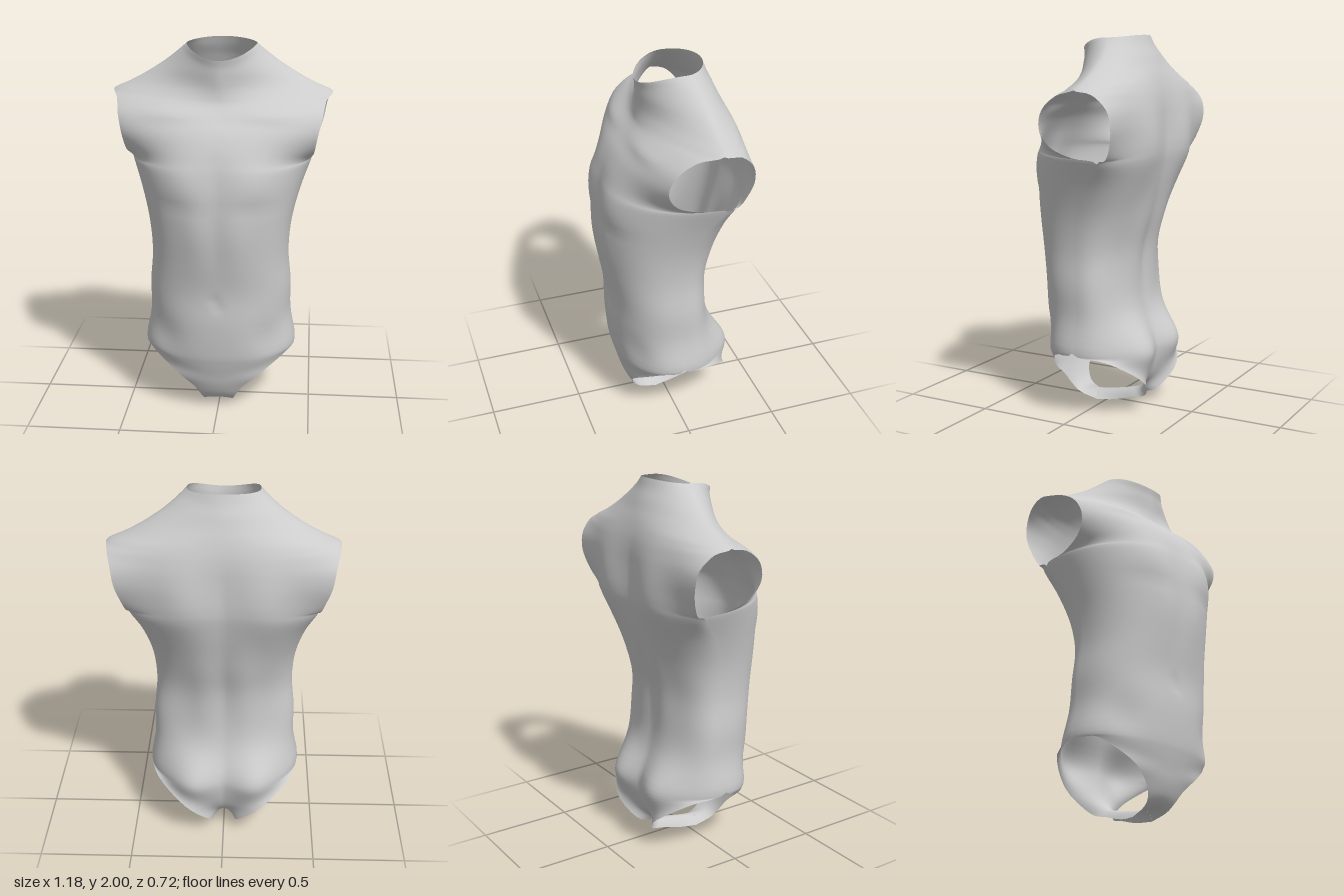
import * as THREE from 'three';
import { mergeVertices } from 'three/addons/utils/BufferGeometryUtils.js';

// Each row runs from the body's centre line out to the sheet's edge:
// [centre y, centre z, edge x, edge y, edge z, fullness of the curve]
const FRONT = [
  // crotch and leg opening
  [.045, .07, .066, .002, .05, 2], [.045, .15, .078, .03, .14, 2], [.08, .2, .092, .07, .185, 2],
  [.15, .235, .135, .14, .212, 2], [.22, .255, .23, .225, .215, 2], [.29, .275, .372, .328, .125, 2.2],
  // side of the body
  [.36, .29, .415, .36, 0, 2.2], [.53, .305, .387, .53, -.02, 2.3], [.7, .305, .385, .7, -.01, 2.4],
  [.88, .33, .37, .88, 0, 2.4], [1.06, .35, .385, 1.06, -.02, 2.4], [1.23, .35, .43, 1.23, -.09, 2.4],
  // arm opening
  [1.36, .335, .485, 1.367, -.19, 2.4], [1.43, .32, .486, 1.39, -.05, 2.3], [1.5, .298, .495, 1.44, .075, 2.2],
  [1.57, .26, .51, 1.53, .128, 2.2], [1.63, .205, .533, 1.63, .095, 2.2], [1.69, .15, .552, 1.7, 0, 1.9],
  // shoulder line up to the neck
  [1.73, .135, .585, 1.73, -.12, 1.5], [1.77, .13, .5, 1.77, -.12, 1.35], [1.81, .13, .4, 1.825, -.12, 1.4],
  [1.85, .13, .3, 1.89, -.11, 1.6], [1.885, .13, .225, 1.95, -.09, 1.8], [1.92, .135, .185, 1.985, -.07, 2],
];
const BACK = [
  [.045, .07, .066, .002, .05, 2], [.055, 0, .052, .012, -.05, 2], [.08, -.12, .055, .045, -.16, 2],
  [.11, -.2, .08, .08, -.26, 2], [.18, -.25, .21, .2, -.31, 2], [.29, -.27, .368, .32, -.19, 2.4],
  [.38, -.265, .415, .36, 0, 2.4], [.53, -.22, .387, .53, -.02, 2.4], [.7, -.197, .385, .7, -.01, 2.5],
  [.88, -.2, .37, .88, 0, 2.5], [1.06, -.25, .385, 1.06, -.02, 2.4], [1.23, -.295, .43, 1.23, -.09, 2.4],
  [1.36, -.32, .485, 1.367, -.19, 2.4], [1.43, -.325, .495, 1.39, -.245, 2.4], [1.5, -.325, .517, 1.46, -.28, 2.4],
  [1.57, -.325, .545, 1.55, -.3, 2.4], [1.64, -.325, .56, 1.64, -.285, 2.4], [1.7, -.32, .58, 1.71, -.215, 2.4],
  [1.75, -.31, .585, 1.73, -.12, 2.2], [1.8, -.295, .5, 1.77, -.12, 1.9], [1.85, -.275, .4, 1.825, -.12, 1.7],
  [1.9, -.255, .3, 1.89, -.11, 1.7], [1.95, -.23, .225, 1.95, -.09, 1.8], [2, -.21, .185, 1.985, -.07, 2],
];

// Soft muscle forms: [x, y, x radius, y radius, height]
const FRONT_FORMS = [
  [.19, 1.33, .15, .14, .025],   // chest
  [.2, 1.19, .14, .035, -.006],  // crease under the chest
  [.26, 1.655, .17, .035, .02],  // collarbone
  [.1, 1.05, .08, .2, .012],     // abdomen
  [.29, .44, .09, .09, -.02],    // groin hollow
  [0, .66, .03, .03, -.01],      // navel
];
const BACK_FORMS = [
  [.2, 1.45, .15, .22, .04],     // shoulder blade
  [.1, .9, .09, .28, .025],      // muscles beside the spine
  [.18, .35, .14, .15, .075],    // buttock
];

const ROWS = FRONT.length - 1, STEPS = 4, COLS = 26;
const LEG_TOP = 6, ARMPIT = 12, SHOULDER_TIP = 18;

const curves = (rows) => ({
  centre: new THREE.CatmullRomCurve3(rows.map((r) => new THREE.Vector3(r[0], r[1], r[5])), false, 'catmullrom'),
  edge: new THREE.CatmullRomCurve3(rows.map((r) => new THREE.Vector3(r[2], r[3], r[4])), false, 'catmullrom'),
});

// Depth of the body's side, where the whole cross-section would end without openings
function sideDepth(s, edge) {
  if (s < LEG_TOP) return 0;
  if (s > ARMPIT && s < SHOULDER_TIP) return THREE.MathUtils.mapLinear(s, ARMPIT, SHOULDER_TIP, -.19, -.12);
  return edge.z;
}

// One full-width sheet, mirrored across the centre line
function addSheet(sheet, other, forms, dir, positions, indices) {
  const base = positions.length / 3, width = 2 * COLS + 1;
  for (let i = 0; i <= ROWS * STEPS; i++) {
    const s = i / STEPS, u = s / ROWS;
    const c = sheet.centre.getPoint(u), e = sheet.edge.getPoint(u), n = c.z;
    // Front and back meet along the sides and the shoulders
    if ((s >= LEG_TOP && s <= ARMPIT) || s >= SHOULDER_TIP) e.add(other.edge.getPoint(u)).multiplyScalar(.5);
    // An opening cuts the rounded section short at this height and width
    const side = sideDepth(s, e);
    const cut = THREE.MathUtils.clamp((e.z - side) / (c.y - side), 0, .85);
    const cutWidth = (1 - cut ** n) ** (1 / n);
    const lastAngle = Math.atan2(cutWidth, cut);
    for (let j = -COLS; j <= COLS; j++) {
      const t = Math.abs(j) / COLS, a = t * lastAngle;
      const sn = Math.sin(a), cs = Math.max(0, Math.cos(a));
      const r = (sn ** n + cs ** n) ** (-1 / n);
      const k = sn * r / cutWidth, x = e.x * k;
      const y = c.x + (e.y - c.x) * k * k;
      let z = e.z + (c.y - e.z) * (t === 1 ? 0 : (cs * r - cut) / (1 - cut));
      for (const [fx, fy, rx, ry, h] of forms) {
        z += dir * h * (1 - t ** 4) * Math.exp(-(((x - fx) / rx) ** 2) - ((y - fy) / ry) ** 2);
      }
      positions.push(Math.sign(j) * x, y, z);
    }
  }
  for (let i = 0; i < ROWS * STEPS; i++) {
    for (let j = 0; j < width - 1; j++) {
      const p = base + i * width + j, q = p + 1, v = p + width, w = v + 1;
      if (dir > 0) indices.push(p, q, v, q, w, v);
      else indices.push(p, v, q, q, v, w);
    }
  }
}

export function createModel() {
  const front = curves(FRONT), back = curves(BACK);
  const positions = [], indices = [];
  addSheet(front, back, FRONT_FORMS, 1, positions, indices);
  addSheet(back, front, BACK_FORMS, -1, positions, indices);

  let geometry = new THREE.BufferGeometry();
  geometry.setAttribute('position', new THREE.Float32BufferAttribute(positions, 3));
  geometry.setIndex(indices);
  geometry = mergeVertices(geometry, 1e-4); // weld the seams
  geometry.computeVertexNormals();

  const torso = new THREE.Mesh(geometry, new THREE.MeshStandardMaterial({ color: 0xcccccc, side: THREE.DoubleSide }));
  torso.name = 'torso';
  const model = new THREE.Group();
  model.name = 'openTorso';
  model.add(torso);
  return model;
}
